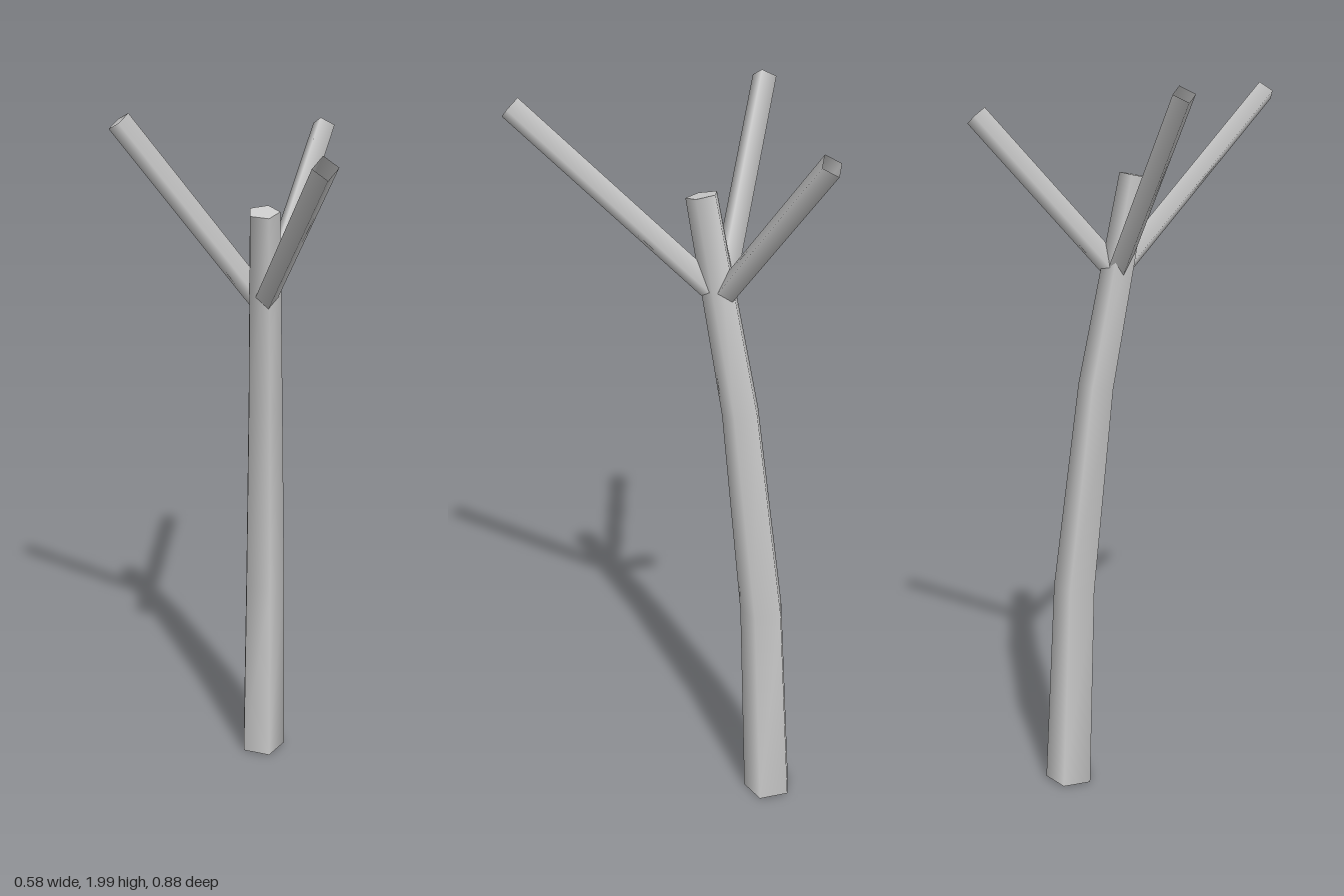
import * as THREE from 'three';
import { toCreasedNormals } from 'three/addons/utils/BufferGeometryUtils.js';

const material = new THREE.MeshStandardMaterial({ color: 0xcccccc, side: THREE.DoubleSide });

// Trunk rings from the ground up: [centre x, y, z, radius]
const RINGS = [
  [0.103, 0.005, -0.235, 0.07],
  [0.103, 0.6, -0.208, 0.062],
  [0.102, 1.18, -0.138, 0.052],
  [0.101, 1.75, -0.025, 0.043],
];

// Five-sided trunk: a unit cylinder whose rings are moved onto the bent centre line
function createTrunk() {
  const last = RINGS.length - 1;
  const geometry = new THREE.CylinderGeometry(1, 1, last, 5, last);
  geometry.translate(0, last / 2, 0).rotateY(Math.PI / 2 + 0.07);

  const centres = RINGS.map(([x, y, z]) => new THREE.Vector3(x, y, z));
  const up = new THREE.Vector3(0, 1, 0);
  const tilts = centres.map((_, i) => {
    const tangent = centres[Math.min(i + 1, last)].clone().sub(centres[Math.max(i - 1, 0)]);
    return new THREE.Quaternion().setFromUnitVectors(up, tangent.normalize());
  });

  const position = geometry.attributes.position;
  const v = new THREE.Vector3();
  for (let k = 0; k < position.count; k++) {
    v.fromBufferAttribute(position, k);
    const i = Math.round(v.y);
    v.setY(0).multiplyScalar(RINGS[i][3]).applyQuaternion(tilts[i]).add(centres[i]);
    position.setXYZ(k, v.x, v.y, v.z);
  }
  // Smooth around the sides, sharp at the two end caps
  const trunk = new THREE.Mesh(toCreasedNormals(geometry, 1.4), material);
  trunk.name = 'trunk';
  return trunk;
}

// Four-sided open tube from the fork to a tip
function createBranch(name, start, tip) {
  const length = start.distanceTo(tip);
  const geometry = new THREE.CylinderGeometry(0.032, 0.032, length, 4, 1, true);
  geometry.translate(0, length / 2, 0).rotateX(Math.PI / 2);
  const branch = new THREE.Mesh(geometry, material);
  branch.name = name;
  branch.position.copy(start);
  branch.lookAt(tip);
  return branch;
}

export function createModel() {
  const group = new THREE.Group();
  group.name = 'bareTree';
  group.add(createTrunk());

  const fork = new THREE.Vector3(0.102, 1.49, -0.078);
  const tips = {
    rightBranch: [-0.268, 1.975, -0.027],
    backBranch: [0.245, 1.905, -0.42],
    frontBranch: [0.261, 1.957, 0.42],
  };
  for (const [name, tip] of Object.entries(tips)) {
    group.add(createBranch(name, fork, new THREE.Vector3(...tip)));
  }
  return group;
}
